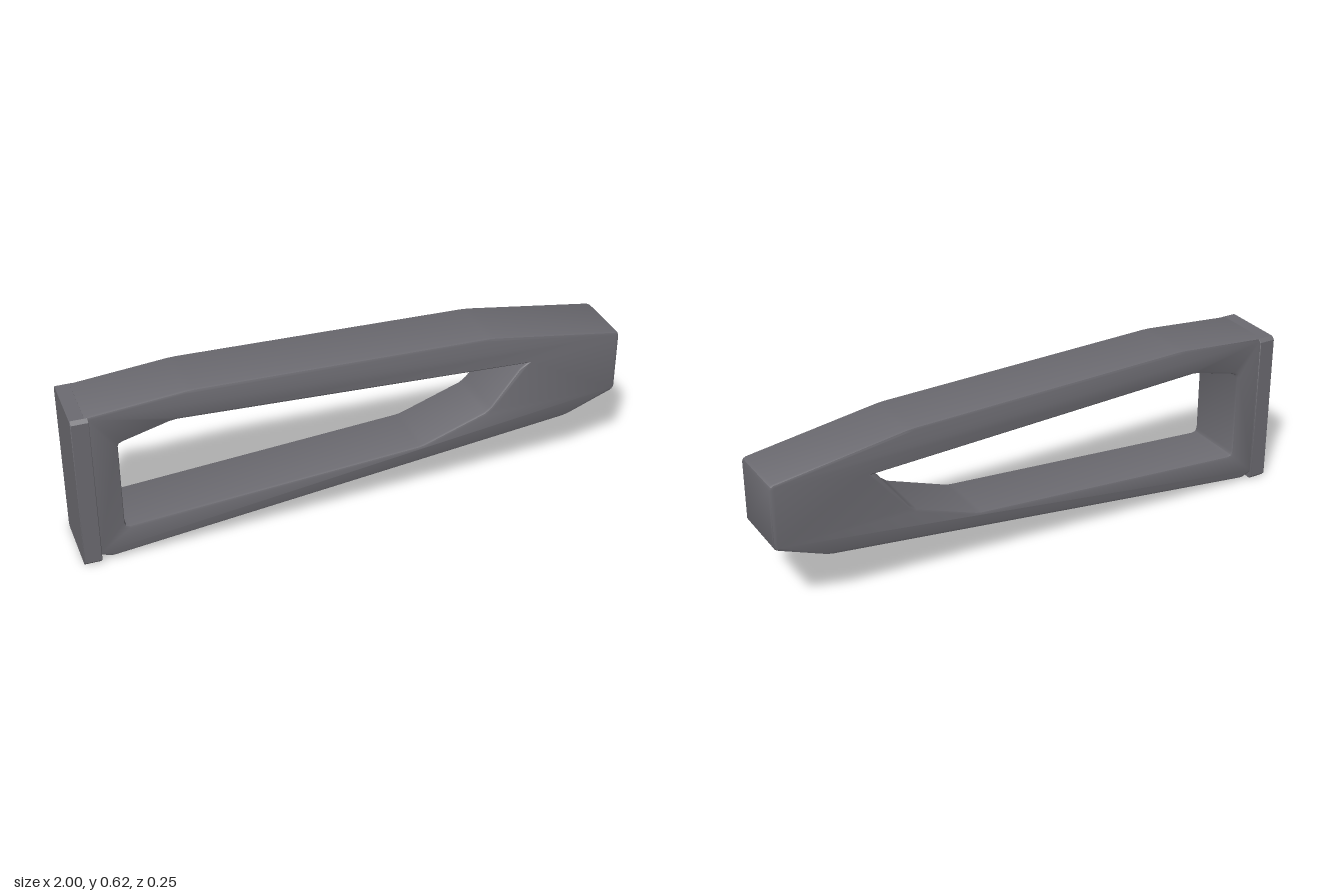
import * as THREE from 'three';
import { toCreasedNormals } from 'three/addons/utils/BufferGeometryUtils.js';

const points = (list) => list.map(([x, y]) => new THREE.Vector2(x, y));

// Extrude a shape to a total thickness, centred on its own z, with softened edges
function softExtrude(shape, thickness, bevel, segments) {
  const geometry = new THREE.ExtrudeGeometry(shape, {
    depth: thickness - 2 * bevel,
    bevelEnabled: true,
    bevelThickness: bevel,
    bevelSize: bevel,
    bevelOffset: -bevel,
    bevelSegments: segments,
  });
  geometry.translate(0, 0, -thickness / 2 + bevel);
  return toCreasedNormals(geometry, 0.6);
}

export function createModel() {
  const model = new THREE.Group();
  model.name = 'taperedBracket';
  const darkGrey = new THREE.MeshStandardMaterial({ color: 0x6b6a70 });
  darkGrey.name = 'darkGrey';

  // Tapered arm with one long window
  const outline = new THREE.Shape(points([
    [-0.95, 0.028], [-0.935, 0.024], [-0.905, 0.013], [-0.89, 0.013],
    [0.79, 0.203], [0.815, 0.208],
    [0.983, 0.273], [0.992, 0.279], [0.998, 0.29],
    [0.998, 0.503], [0.994, 0.513], [0.983, 0.519],
    [0.51, 0.59], [0.48, 0.593],
    [-0.58, 0.616], [-0.61, 0.615],
    [-0.95, 0.584],
  ]));
  outline.holes.push(new THREE.Path(points([
    [-0.848, 0.14], [-0.843, 0.128], [-0.83, 0.124],
    [0.23, 0.199], [0.25, 0.203],
    [0.48, 0.285], [0.505, 0.304],
    [0.61, 0.44], [0.638, 0.461],
    [-0.645, 0.511], [-0.67, 0.508],
    [-0.832, 0.465], [-0.844, 0.459], [-0.848, 0.447],
  ].reverse())));
  const arm = new THREE.Mesh(softExtrude(outline, 0.236, 0.01, 2), darkGrey);
  arm.name = 'arm';
  model.add(arm);

  // Mounting plate with cut corners, extruded along x
  const halfZ = 0.127, bottom = 0.001, top = 0.583, cut = 0.012;
  const plateShape = new THREE.Shape(points([
    [-halfZ + cut, bottom], [halfZ - cut, bottom], [halfZ, bottom + cut],
    [halfZ, top - cut], [halfZ - cut, top], [-halfZ + cut, top],
    [-halfZ, top - cut], [-halfZ, bottom + cut],
  ]));
  const plate = new THREE.Mesh(softExtrude(plateShape, 0.062, 0.002, 1), darkGrey);
  plate.name = 'mountingPlate';
  plate.rotation.y = Math.PI / 2;
  plate.position.x = -0.969;
  model.add(plate);

  return model;
}
